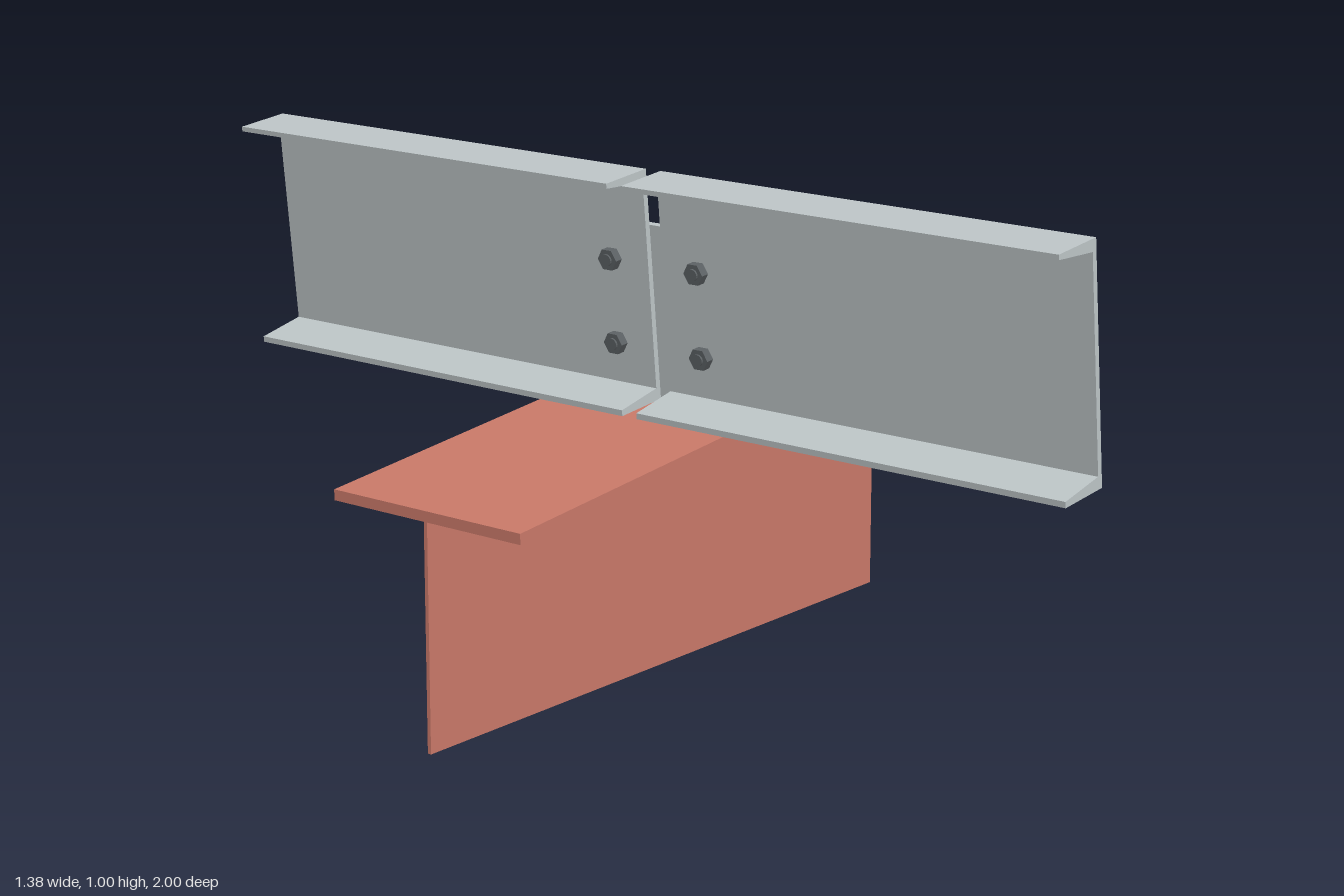
import * as THREE from 'three';

const SLOPE = 0.0986;
const roofY = (x) => 0.536 + SLOPE * x;

export function createModel() {
  const model = new THREE.Group();
  model.name = 'purlinJoint';

  const mat = (name, color) => {
    const m = new THREE.MeshStandardMaterial({ color });
    m.name = name;
    return m;
  };
  const redPaint = mat('red paint', 0xc87868);
  const steel = mat('galvanised steel', 0xbcc4c6);
  const boltSteel = mat('dark bolt steel', 0x5c6164);

  const add = (parent, name, geometry, material) => {
    const mesh = new THREE.Mesh(geometry, material);
    mesh.name = name;
    parent.add(mesh);
    return mesh;
  };
  // Extrude an x-y outline from z0 to z1
  const prism = (points, z0, z1) => {
    const shape = new THREE.Shape(points.map(([x, y]) => new THREE.Vector2(x, y)));
    return new THREE.ExtrudeGeometry(shape, { depth: z1 - z0, bevelEnabled: false }).translate(0, 0, z0);
  };

  // Sloping tee rafter with plumb-cut ends
  const half = 0.69, flange = 0.021;
  const rafter = new THREE.Group();
  rafter.name = 'rafter';
  model.add(rafter);
  add(rafter, 'rafterFlange', prism([
    [-half, roofY(-half) - flange], [half, roofY(half) - flange],
    [half, roofY(half)], [-half, roofY(-half)],
  ], -0.23, 0.23), redPaint);
  add(rafter, 'rafterWeb', prism([
    [-half, 0], [half, 0], [half, roofY(half) - flange], [-half, roofY(-half) - flange],
  ], -0.004, 0.004), redPaint);

  // Everything above stands square to the slope
  const joint = new THREE.Group();
  joint.name = 'joint';
  joint.position.set(0.01, roofY(0.01), 0);
  joint.rotation.z = Math.atan(SLOPE);
  model.add(joint);

  // Two channel purlins with tapered flanges, meeting at a narrow gap
  const channel = [
    [0, 0], [0, 0.467], [-0.119, 0.467], [-0.119, 0.457],
    [-0.012, 0.443], [-0.012, 0.025], [-0.119, 0.012], [-0.119, 0],
  ];
  add(joint, 'leftPurlin', prism(channel, -1, -0.018), steel);
  add(joint, 'rightPurlin', prism(channel, 0.018, 1), steel);

  // Upright cleat plate and its triangular stiffener
  add(joint, 'cleatPlate', prism([[0, 0], [0.016, 0], [0.016, 0.355], [0, 0.355]], -0.23, 0.23), steel);
  add(joint, 'gusset', prism([[0.016, 0], [0.153, 0], [0.016, 0.232]], -0.004, 0.004), steel);

  // Four bolts: shank, head on the cleat side, nut on the purlin side
  const hex = (r, length) => new THREE.CylinderGeometry(r, r, length, 6).toNonIndexed().rotateZ(Math.PI / 2);
  const headGeo = hex(0.023, 0.018);
  const shankGeo = new THREE.CylinderGeometry(0.012, 0.012, 0.07, 16).rotateZ(Math.PI / 2);
  for (const y of [0.108, 0.2795]) {
    for (const z of [-0.107, 0.107]) {
      const bolt = new THREE.Group();
      bolt.name = 'bolt';
      bolt.position.set(0, y, z);
      joint.add(bolt);
      add(bolt, 'boltHead', headGeo, boltSteel).position.x = 0.025;
      add(bolt, 'boltNut', headGeo, boltSteel).position.x = -0.021;
      add(bolt, 'boltShank', shankGeo, boltSteel).position.x = 0.001;
    }
  }
  boltSteel.flatShading = true;

  return model;
}
